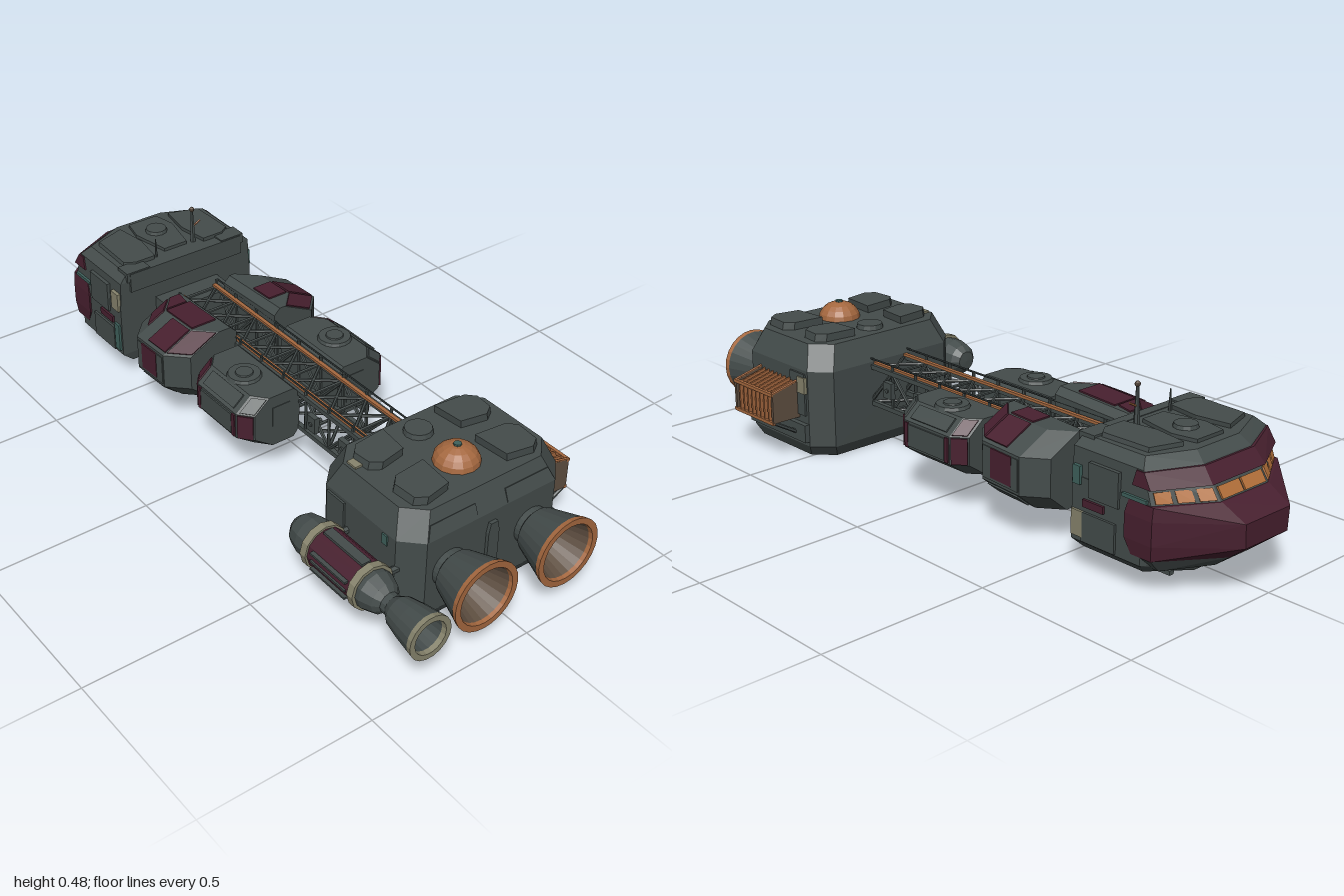
import * as THREE from 'three';
import { ConvexGeometry } from 'three/addons/geometries/ConvexGeometry.js';

const paint = (name, color) => Object.assign(new THREE.MeshStandardMaterial({ color }), { name });

export function createModel() {
  const slate = paint('slate hull', 0x444c4b), dark = paint('dark metal', 0x373f3f), maroon = paint('maroon', 0x48202f);
  const copper = paint('copper', 0xa5683f), brown = paint('brown', 0x5f4f41), beige = paint('beige', 0x87846d);
  const teal = paint('teal', 0x3f615c), amber = paint('amber glass', 0xb3703a);

  const model = new THREE.Group();
  model.name = 'spacecraft';
  const ship = new THREE.Group();
  ship.name = 'hull';
  ship.position.z = -0.02;
  model.add(ship);

  // ---- helpers ----
  const add = (name, mat, geo) => {
    const g = geo.index ? geo.toNonIndexed() : geo;
    g.computeVertexNormals();
    const m = new THREE.Mesh(g, mat);
    m.name = name;
    ship.add(m);
    return m;
  };
  const V = (p) => new THREE.Vector3(...p);
  const hull = (name, mat, pts) => add(name, mat, new ConvexGeometry(pts.map(V)));
  const box = (name, mat, x0, x1, y0, y1, z0, z1) =>
    add(name, mat, new THREE.BoxGeometry(x1 - x0, y1 - y0, z1 - z0).translate((x0 + x1) / 2, (y0 + y1) / 2, (z0 + z1) / 2));
  // thin plate on a four-cornered face, between fractions u (a to b) and v (a to d)
  const plate = (name, mat, [a, b, c, d], u0 = 0, u1 = 1, v0 = 0, v1 = 1, t = 0.009) => {
    const [A, B, C, D] = [a, b, c, d].map(V);
    const at = (u, v) => A.clone().lerp(B, u).lerp(D.clone().lerp(C, u), v);
    const q = [at(u0, v0), at(u1, v0), at(u1, v1), at(u0, v1)];
    const n = q[2].clone().sub(q[0]).cross(q[3].clone().sub(q[1])).normalize().multiplyScalar(t / 2);
    return add(name, mat, new ConvexGeometry(q.flatMap((p) => [p.clone().add(n), p.clone().sub(n)])));
  };
  const rod = (name, mat, a, b, r, r2 = r, n = 6) => {
    const A = V(a), B = V(b), dir = B.clone().sub(A);
    const m = add(name, mat, new THREE.CylinderGeometry(r2, r, dir.length(), n));
    m.position.copy(A).add(B).multiplyScalar(0.5);
    m.quaternion.setFromUnitVectors(new THREE.Vector3(0, 1, 0), dir.normalize());
  };
  // turned part along x; profile is [radius, x]
  const turn = (name, mat, profile, y, z, n = 20) =>
    add(name, mat, new THREE.LatheGeometry(profile.map((p) => new THREE.Vector2(...p)), n).rotateZ(-Math.PI / 2).translate(0, y, z));
  const disc = (name, mat, x, y, z, r, h, n = 12) => add(name, mat, new THREE.CylinderGeometry(r * 0.9, r, h, n).translate(x, y, z));

  // ---- cabin: plan rings with a flat front, chamfered cheeks and straight sides ----
  const ring = (y, xf, fw, xc, hw, xr) => [1, -1].flatMap((s) => [[xr, y, s * hw], [xc, y, s * hw], [xf, y, s * fw]]);
  hull('cabinLower', slate, [ring(0.052, -0.86, 0.1, -0.78, 0.2, -0.575), ring(0.085, -0.88, 0.1, -0.8, 0.237, -0.568),
    ring(0.26, -0.9, 0.09, -0.81, 0.237, -0.568)].flat());
  hull('chin', slate, [ring(0.07, -0.9, 0.07, -0.83, 0.2, -0.77), ring(0.108, -0.947, 0.075, -0.835, 0.237, -0.76)].flat());
  hull('nose', maroon, [ring(0.108, -0.947, 0.075, -0.835, 0.237, -0.77), ring(0.15, -1, 0.08, -0.84, 0.242, -0.75),
    ring(0.215, -1, 0.085, -0.84, 0.242, -0.75), ring(0.252, -0.93, 0.09, -0.84, 0.238, -0.76)].flat());
  hull('cabinUpper', slate, [ring(0.25, -0.925, 0.09, -0.83, 0.235, -0.568), ring(0.335, -0.865, 0.09, -0.8, 0.232, -0.568),
    ring(0.36, -0.835, 0.08, -0.78, 0.205, -0.575)].flat());
  hull('brow', maroon, [ring(0.292, -0.906, 0.1, -0.83, 0.239, -0.77), ring(0.332, -0.873, 0.095, -0.805, 0.236, -0.78)].flat());
  const pane = [[-0.925, 0.25, -0.09], [-0.925, 0.25, 0.09], [-0.898, 0.29, 0.09], [-0.898, 0.29, -0.09]];
  for (const u of [0.04, 0.52]) plate('frontWindow', amber, pane, u, u + 0.44, 0.12, 0.82);
  for (const s of [1, -1]) {
    const cheek = [[-0.925, 0.25, s * 0.09], [-0.83, 0.25, s * 0.235], [-0.816, 0.29, s * 0.234], [-0.898, 0.29, s * 0.09]];
    for (let i = 0; i < 3; i++) plate('cheekWindow', amber, cheek, 0.04 + i * 0.32, 0.29 + i * 0.32, 0.12, 0.82);
    // side panels
    const side = (name, mat, x0, x1, y0, y1, t = 0.006) => box(name, mat, x0, x1, y0, y1, s * 0.238 - t, s * 0.238 + t);
    side('sidePanel', slate, -0.73, -0.63, 0.215, 0.31);
    side('sidePanel', slate, -0.72, -0.605, 0.09, 0.17);
    side('sideStripe', maroon, -0.68, -0.61, 0.185, 0.205);
    side('tealTrim', teal, -0.82, -0.74, 0.254, 0.264, 0.004);
    side('beigeHatch', beige, -0.61, -0.572, s > 0 ? 0.24 : 0.1, s > 0 ? 0.3 : 0.17);
    side('tealHatch', teal, -0.6, -0.575, s > 0 ? 0.1 : 0.24, s > 0 ? 0.19 : 0.29);
    // roof plates
    hull('roofPlate', slate, [[-0.8, s * 0.09], [-0.77, s * 0.185], [-0.62, s * 0.19], [-0.6, s * 0.16], [-0.6, s * 0.09], [-0.7, s * 0.075]]
      .flatMap(([x, z]) => [[x, 0.355, z], [x, 0.372, z * 0.98]]));
    box('roofLocker', slate, -0.615, -0.562, 0.335, 0.366, s * 0.17 - 0.04, s * 0.17 + 0.04);
    for (const z of [0.06, 0.15]) box('bellyRib', slate, -0.83, -0.59, 0.044, 0.056, s * z - 0.008, s * z + 0.008);
  }
  hull('roofCentrePlate', slate, [[-0.81, 0.05], [-0.74, 0.065], [-0.62, 0.04]].flatMap(([x, z]) =>
    [[x, 0.355, z], [x, 0.37, z], [x, 0.355, -z], [x, 0.37, -z]]));
  disc('roofHatch', slate, -0.73, 0.374, 0, 0.035, 0.012);
  box('rearRoofBeam', slate, -0.59, -0.56, 0.3, 0.362, -0.2, 0.2);

  // ---- aerials ----
  rod('mainAerial', slate, [-0.623, 0.36, -0.065], [-0.623, 0.465, -0.065], 0.009, 0.004);
  add('aerialTip', brown, new THREE.SphereGeometry(0.008, 8, 6).translate(-0.623, 0.47, -0.065));
  rod('aerialFeed', copper, [-0.623, 0.41, -0.065], [-0.623, 0.425, -0.093], 0.003);
  rod('shortAerial', slate, [-0.61, 0.36, 0.077], [-0.61, 0.42, 0.077], 0.005, 0.002);

  // ---- neck and truss ----
  hull('neck', slate, [[-0.58, 0.112], [-0.505, 0.112], [-0.475, 0.08]].flatMap(([x, z]) =>
    [[x, 0.13, z], [x, 0.25, z], [x, 0.13, -z], [x, 0.25, -z]]));
  const X0 = -0.5, X1 = 0.45, bays = 9, step = (X1 - X0) / bays, top = 0.255, low = 0.14, w = 0.066;
  for (const s of [1, -1]) {
    box('upperChord', slate, X0, X1, top - 0.007, top + 0.007, s * w - 0.008, s * w + 0.008);
    box('copperRail', copper, X0, X1, top + 0.006, top + 0.014, s * 0.058 - 0.006, s * 0.058 + 0.006);
    box('lowerChord', slate, X0, X1, low - 0.007, low + 0.007, s * w - 0.007, s * w + 0.007);
    rod('handrail', dark, [X0, 0.28, s * 0.07], [X1, 0.28, s * 0.07], 0.003);
    for (const x of [0.195, 0.335]) {
      rod('lampArm', slate, [x, 0.21, s * 0.06], [x, 0.21, s * 0.1], 0.007);
      box('lamp', slate, x - 0.018, x + 0.018, 0.185, 0.235, s * 0.088 - 0.008, s * 0.088 + 0.008);
    }
  }
  for (let i = 0; i <= bays; i++) {
    const x = X0 + i * step;
    for (const s of [1, -1]) rod('trussPost', slate, [x, low, s * w], [x, 0.28, s * w], 0.005);
    for (const y of [top, low]) rod('trussTie', slate, [x, y, -w], [x, y, w], 0.005);
    if (i === bays) break;
    for (const s of [1, -1]) {
      rod('sideBrace', slate, [x, i % 2 ? low : top, s * w], [x + step, i % 2 ? top : low, s * w], 0.006);
      for (const y of [top, low]) rod('crossBrace', slate, [x, y, -s * w], [x + step, y, s * w], 0.005);
    }
  }

  // ---- cargo pods beside the truss; cut and c shape the end chamfers, slope and drop the long ones ----
  function pod(name, s, x0, x1, zo, y0, y1, { tilt, cut, c, slope, drop }) {
    const zi = 0.068;
    const section = (x, i) => {
      const dy = tilt * (x - (x0 + x1) / 2);
      return [[zi, y0 + 0.025], [zi, y1 - 0.02], [zi + 0.02, y1], [zo - slope - i, y1], [zo - i, y1 - drop],
        [zo - i, y0 + drop], [zo - 0.06 - i, y0], [zi + 0.02, y0]].map(([z, y]) => [x, y + dy, s * z]);
    };
    const secs = [section(x0, cut), section(x0 + c, 0), section(x1 - c, 0), section(x1, cut)];
    hull(name, slate, secs.flat());
    // face k of the section, between stations j and j + 1
    return (j, k) => [secs[j][k], secs[j + 1][k], secs[j + 1][k + 1], secs[j][k + 1]];
  }
  for (const s of [1, -1]) {
    const f = pod('largePod', s, -0.46, -0.2, s > 0 ? 0.283 : 0.26, 0.105, 0.313, { tilt: 0.05, cut: 0.055, c: 0.06, slope: 0.1, drop: 0.05 });
    plate('podTopPaint', maroon, f(1, 2), s > 0 ? 0.02 : 0.4, 0.98, 0.1, 0.96);
    plate('podSlopePaint', maroon, f(1, 3), s > 0 ? 0.35 : 0.4, 0.98, 0.04, 0.9);
    plate('podCornerPaint', maroon, f(2, 3), 0.05, 0.95, 0.05, 0.9);
    if (s > 0) {
      plate('podTopPaint', maroon, f(0, 2), 0.1, 0.95, 0.2, 0.95);
      plate('podCornerPaint', maroon, f(0, 3), 0.1, 0.95, 0.05, 0.6);
    }
    plate('podSidePanel', slate, f(1, 4), 0.03, 0.97, 0.08, 0.92, 0.006);
    plate('podHatch', maroon, f(1, 4), 0.2, 0.75, 0.08, 0.85);
    plate('podLowerPanel', slate, f(1, 5), 0.1, 0.9, 0.15, 0.85);

    const g = pod('smallPod', s, -0.165, 0.105, 0.255, 0.113, 0.277, { tilt: 0, cut: 0.035, c: 0.042, slope: 0.05, drop: 0.042 });
    for (const j of [0, 2]) {
      plate('podEndPaint', maroon, g(j, 4), 0.08, 0.92, 0.03, 0.97);
      plate('podEndPanel', j ? slate : maroon, g(j, 3), 0.15, 0.92, 0.1, 0.92);
      box('podBracket', slate, j ? 0.085 : -0.167, j ? 0.107 : -0.145, 0.15, 0.24, s * 0.13 - 0.03, s * 0.13 + 0.03);
    }
    plate('podSidePanel', slate, g(1, 4), 0.1, 0.9, 0.1, 0.9);
    plate('podSideMark', maroon, g(1, 4), 0.02, 0.09, 0.05, 0.95);
    plate('podSideMark', maroon, g(1, 4), 0.91, 0.98, 0.05, 0.95);
    plate('podSlopePanel', slate, g(1, 3), 0.1, 0.9, 0.15, 0.85);
    disc('podLid', slate, -0.03, 0.28, s * 0.16, 0.052, 0.012, 16);
    disc('podLidCap', slate, -0.03, 0.286, s * 0.16, 0.028, 0.008, 12);
  }

  // ---- engine block ----
  const oct = (y, i, c = 0.055) => [1, -1].flatMap((s) => [[0.435 + i, y, s * (0.27 - i - c)], [0.435 + i + c, y, s * (0.27 - i)],
    [0.825 - i - c, y, s * (0.27 - i)], [0.825 - i, y, s * (0.27 - i - c)]]);
  hull('engineBlock', slate, [oct(0, 0.018), oct(0.035, 0), oct(0.27, 0), oct(0.343, 0.03)].flat());
  for (const s of [1, -1]) {
    for (const [a, b] of [[0.49, 0.6], [0.65, 0.775]])
      hull('deckPlate', slate, [[a, 0.09], [a + 0.01, 0.19], [a + 0.035, 0.215], [b - 0.02, 0.21], [b, 0.18], [b - 0.015, 0.1]]
        .flatMap(([x, z]) => [[x, 0.335, s * z], [x, 0.366, s * z * 0.97]]));
    box('sideSkirt', slate, 0.49, 0.77, 0.05, 0.105, s * 0.274 - 0.012, s * 0.274 + 0.012);
    box('sidePanel', slate, 0.5, 0.57, 0.13, 0.26, s * 0.27 - 0.006, s * 0.27 + 0.006);
    plate('rearShoulderPanel', slate, [[0.825, 0.265, s * 0.05], [0.825, 0.265, s * 0.215], [0.797, 0.338, s * 0.185], [0.797, 0.338, s * 0.05]], 0, 1, 0.1, 0.6, 0.008);
  }
  box('tealPanel', teal, 0.72, 0.74, 0.235, 0.265, 0.265, 0.274);
  box('deckMark', beige, 0.525, 0.56, 0.335, 0.349, 0.2, 0.232);
  box('beigePanel', beige, 0.495, 0.53, 0.2, 0.25, -0.28, -0.265);
  hull('rearKeel', slate, [[0.08, 0.008], [0.11, 0.018], [0.21, 0.018], [0.24, 0.012]].flatMap(([y, z]) =>
    [[0.82, y, z], [0.835, y, z], [0.82, y, -z], [0.835, y, -z]]));
  disc('deckHatch', slate, 0.53, 0.348, 0, 0.042, 0.018, 14);
  const dome = new THREE.SphereGeometry(0.064, 14, 5, 0, Math.PI * 2, 0, Math.PI / 2).scale(1, 0.8, 1).translate(0.68, 0.342, 0);
  add('dome', copper, dome);
  disc('domeCap', teal, 0.68, 0.392, 0, 0.012, 0.009, 8);

  // ---- main engines ----
  for (const s of [1, -1]) {
    const z = s * 0.138, y = 0.16;
    turn('engineBell', slate, [[0.055, 0.79], [0.055, 0.842], [0.066, 0.85], [0.1, 0.955]], y, z, 24);
    turn('engineRim', copper, [[0.1, 0.952], [0.103, 0.966], [0.085, 0.966], [0.082, 0.95]], y, z, 24);
    turn('engineThroat', brown, [[0.083, 0.955], [0.056, 0.87], [0, 0.862]], y, z, 24);
  }

  // ---- side thruster ----
  const ty = 0.168, tz = 0.348;
  turn('thrusterBody', slate, [[0, 0.478], [0.03, 0.48], [0.048, 0.5], [0.057, 0.535], [0.057, 0.795], [0.045, 0.83], [0.03, 0.845], [0.03, 0.87]], ty, tz, 12);
  turn('thrusterSleeve', maroon, [[0.057, 0.59], [0.06, 0.592], [0.06, 0.765], [0.057, 0.767]], ty, tz, 12);
  for (const x of [0.57, 0.76]) {
    turn('thrusterBand', beige, [[0.05, x], [0.066, x], [0.066, x + 0.022], [0.05, x + 0.022]], ty, tz, 12);
    rod('thrusterMount', slate, [x + 0.01, 0.18, 0.25], [x + 0.01, 0.18, 0.31], 0.01);
    rod('thrusterStay', slate, [x + 0.01, 0.1, 0.275], [x + 0.01, 0.135, 0.31], 0.008);
  }
  for (let i = 0; i < 3; i++) box('sleeveRib', slate, 0.61, 0.75, 0.14 + i * 0.025, 0.146 + i * 0.025, 0.4, 0.4125);
  box('sleeveSpine', slate, 0.6, 0.755, 0.218, 0.232, tz - 0.014, tz + 0.014);
  turn('thrusterNozzle', slate, [[0.028, 0.86], [0.044, 0.885], [0.054, 0.93], [0.063, 0.985]], ty, tz, 18);
  turn('thrusterRim', beige, [[0.063, 0.985], [0.065, 1], [0.049, 1], [0.048, 0.985]], ty, tz, 18);
  turn('thrusterThroat', slate, [[0.049, 0.99], [0.042, 0.9], [0, 0.895]], ty, tz, 18);

  // ---- radiator rack: open slats in a copper frame ----
  const fin = (x) => [[x, 0.118, -0.265], [x, 0.118, -0.365], [x, 0.208, -0.365], [x, 0.233, -0.265]];
  for (let i = 0; i <= 9; i++) {
    const end = i % 9 === 0;
    plate(end ? 'radiatorEnd' : 'radiatorFin', end ? brown : copper, fin(0.54 + i * 0.0207), 0, 1, 0, 1, end ? 0.009 : 0.006);
  }
  for (const y of [0.118, 0.207]) box('radiatorBar', copper, 0.536, 0.731, y - 0.005, y + 0.005, -0.368, -0.358);
  for (const x of [0.54, 0.7263]) {
    rod('radiatorEdge', copper, [x, 0.209, -0.364], [x, 0.234, -0.266], 0.005);
    rod('radiatorStrut', slate, [x, 0.116, -0.355], [x, 0.07, -0.275], 0.006);
  }

  return model;
}
